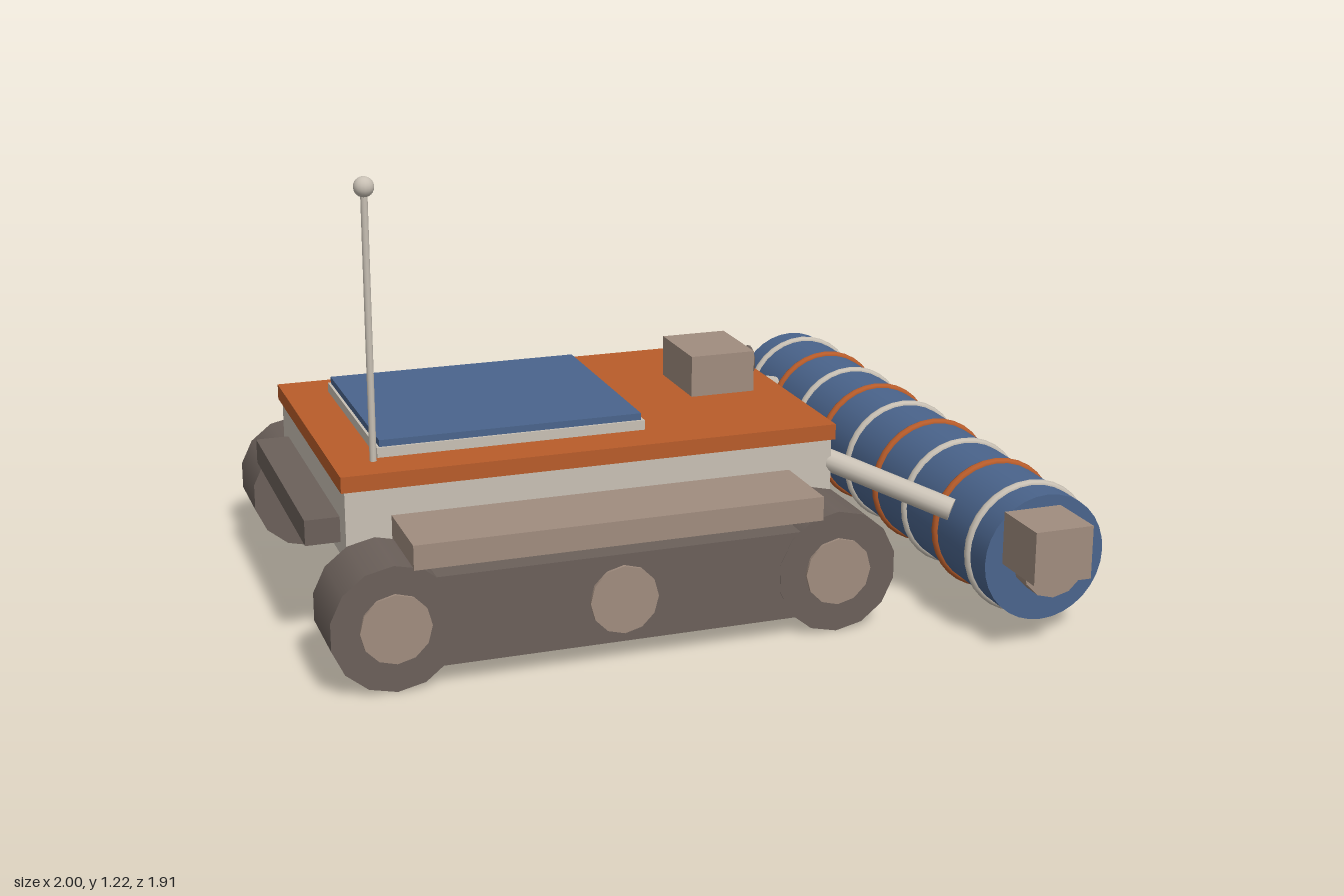
import * as THREE from 'three';

const mat = (name, color) => {
  const m = new THREE.MeshStandardMaterial({ color });
  m.name = name;
  return m;
};

export function createModel() {
  const model = new THREE.Group();
  model.name = 'trackedRover';
  const orange = mat('rust orange', 0xb85c2a);
  const blue = mat('slate blue', 0x4a648c);
  const tan = mat('warm taupe', 0xa08c7e);
  const dark = mat('dark brown grey', 0x6b605a);
  const light = mat('light stone', 0xc8c0b4);
  const midZ = -0.06; // centre line of the body and roller

  const add = (name, geometry, material, x = 0, y = 0, z = 0) => {
    const mesh = new THREE.Mesh(geometry, material);
    mesh.name = name;
    mesh.position.set(x, y, z);
    model.add(mesh);
    return mesh;
  };
  // Box given by its limits on each axis
  const box = (name, material, [x0, x1], [y0, y1], [z0, z1]) =>
    add(name, new THREE.BoxGeometry(x1 - x0, y1 - y0, z1 - z0), material,
      (x0 + x1) / 2, (y0 + y1) / 2, (z0 + z1) / 2);
  // Cylinder lying along z
  const drum = (name, material, r, length, sides, x, y, z) =>
    add(name, new THREE.CylinderGeometry(r, r, length, sides).rotateX(Math.PI / 2), material, x, y, z);
  // Round rod between two points
  const rod = (name, material, r, a, b) => {
    const dir = b.clone().sub(a);
    const mesh = add(name, new THREE.CylinderGeometry(r, r, dir.length(), 16), material);
    mesh.position.copy(a).add(b).multiplyScalar(0.5);
    mesh.quaternion.setFromUnitVectors(new THREE.Vector3(0, 1, 0), dir.normalize());
  };

  // Body
  box('hull', light, [-0.91, 0.4], [0.26, 0.45], [midZ - 0.42, midZ + 0.42]);
  box('deck', orange, [-0.92, 0.408], [0.45, 0.492], [midZ - 0.43, midZ + 0.43]);
  box('rearBumper', dark, [-1, -0.91], [0.295, 0.362], [-0.41, 0.29]);

  // Solar panel
  box('solarFrame', light, [-0.8, -0.085], [0.492, 0.518], [-0.373, 0.248]);
  box('solarPanel', blue, [-0.793, -0.093], [0.518, 0.536], [-0.366, 0.241]);

  // Camera and lens
  box('cameraHousing', tan, [0.118, 0.3], [0.507, 0.62], [midZ - 0.115, midZ + 0.115]);
  add('cameraLens', new THREE.CylinderGeometry(0.04, 0.04, 0.06, 16).rotateZ(Math.PI / 2),
    dark, 0.305, 0.563, midZ);

  // Antenna
  add('antennaMast', new THREE.CylinderGeometry(0.009, 0.009, 0.7, 10), light, -0.815, 0.84, 0.267);
  add('antennaTip', new THREE.SphereGeometry(0.026, 16, 12), light, -0.815, 1.192, 0.267);

  // Tracks, fenders and roller arms on both sides
  for (const side of [1, -1]) {
    const name = side > 0 ? 'left' : 'right';
    const z = midZ + side * 0.537;
    box(name + 'TrackBelt', dark, [-0.84, 0.326], [0.052, 0.285], [z - 0.104, z + 0.104]);
    for (const x of [-0.84, 0.326]) drum(name + 'TrackWheel', dark, 0.164, 0.21, 14, x, 0.164, z);
    for (const x of [-0.84, -0.257, 0.326]) drum(name + 'WheelHub', tan, 0.09, 0.225, 12, x, 0.166, z);
    box(name + 'Fender', tan, [-0.793, 0.28], [0.312, 0.376], [z - 0.118, z + 0.112]);
    rod(name + 'RollerArm', light, 0.03,
      new THREE.Vector3(0.36, 0.4, midZ + side * 0.36),
      new THREE.Vector3(0.665, 0.283, midZ + side * 0.612));
  }

  // Front roller with alternating rings
  const rx = 0.816, ry = 0.213;
  drum('roller', blue, 0.17, 1.68, 32, rx, ry, midZ);
  drum('rollerAxle', tan, 0.09, 1.79, 12, rx, ry, midZ);
  for (let i = -4; i <= 4; i++) {
    add('rollerRing', new THREE.TorusGeometry(0.168, 0.013, 8, 32), i % 2 ? orange : light,
      rx, ry, midZ + i * 0.187);
  }
  box('rollerMotor', tan, [0.69, 0.85], [0.215, 0.355], [0.79, 0.955]);

  return model;
}
